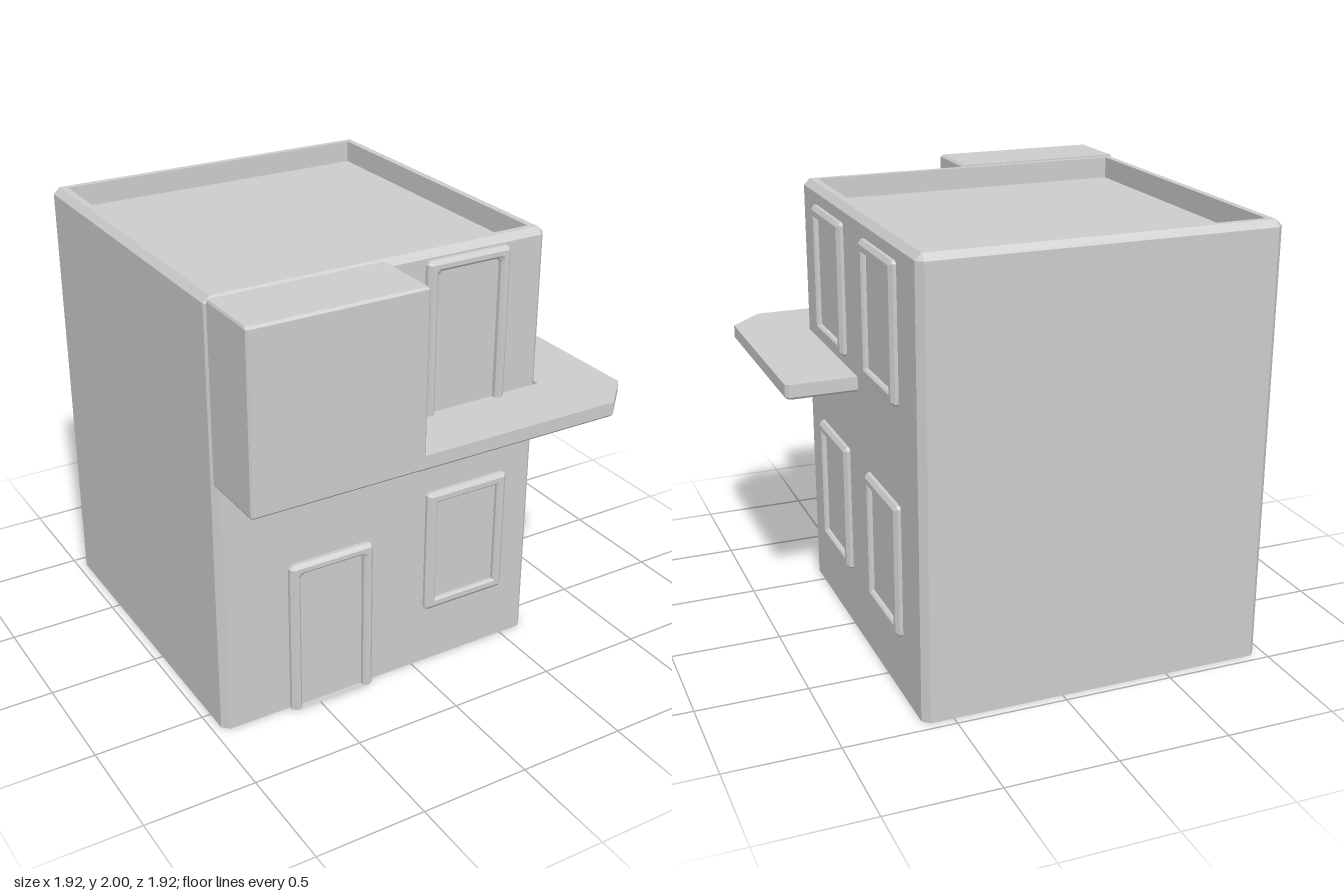
import * as THREE from 'three';

const material = new THREE.MeshStandardMaterial({ color: 0xcccccc, flatShading: true, side: THREE.DoubleSide });

// Rectangle with cut corners at height y; cuts are [front left, front right, back right, back left] in x-z
function ring(x0, x1, z0, z1, y, cuts) {
  const [a, b, c, d] = Array.isArray(cuts) ? cuts : [cuts, cuts, cuts, cuts];
  return [
    [x0, z1 - a], [x0 + a, z1], [x1 - b, z1], [x1, z1 - b],
    [x1, z0 + c], [x1 - c, z0], [x0 + d, z0], [x0, z0 + d],
  ].map(([x, z]) => [x, y, z]);
}

// Skin through a stack of matching rings, closed at either end if asked
function loft(rings, capEnd = true, capStart = false) {
  const p = [];
  for (let r = 0; r < rings.length - 1; r++) {
    const lo = rings[r], hi = rings[r + 1], n = lo.length;
    for (let i = 0; i < n; i++) {
      const j = (i + 1) % n;
      p.push(...lo[i], ...lo[j], ...hi[j], ...lo[i], ...hi[j], ...hi[i]);
    }
  }
  const cap = (pts, flip) => {
    const flat = pts.map(([x, , z]) => new THREE.Vector2(x, -z));
    for (const [a, b, c] of THREE.ShapeUtils.triangulateShape(flat, [])) {
      p.push(...pts[a], ...pts[flip ? c : b], ...pts[flip ? b : c]);
    }
  };
  if (capEnd) cap(rings[rings.length - 1], false);
  if (capStart) cap(rings[0], true);
  const g = new THREE.BufferGeometry();
  g.setAttribute('position', new THREE.Float32BufferAttribute(p, 3));
  g.computeVertexNormals();
  return g;
}

// Raised frame around a sunken panel, facing +z; a door keeps its foot level at y = 0
function framedPanel(w, h, isDoor) {
  const level = (inset, out, cut) => ring(
    -w / 2 + inset, w / 2 - inset, -(h - inset), isDoor ? 0 : -inset, out,
    isDoor ? [0.0005, 0.0005, cut, cut] : cut);
  const rings = isDoor
    ? [level(0, 0, 0.016), level(0, 0.018, 0.016), level(0.016, 0.034, 0.001),
      level(0.036, 0.034, 0.012), level(0.048, 0.022, 0.018), level(0.048, 0.004, 0.018)]
    : [level(0, 0, 0.012), level(0, 0.015, 0.012), level(0.018, 0.029, 0.001),
      level(0.042, 0.029, 0.001), level(0.05, 0.021, 0.001), level(0.05, 0.006, 0.001)];
  return loft(rings).rotateX(Math.PI / 2);
}

export function createModel() {
  const group = new THREE.Group();
  const add = (name, geometry, x = 0, y = 0, z = 0, turn = 0) => {
    const mesh = new THREE.Mesh(geometry, material);
    mesh.name = name;
    mesh.position.set(x, y, z);
    mesh.rotation.y = turn;
    group.add(mesh);
  };
  const L = -0.96, R = 0.635;

  // Hollow house body, open below, with parapet and sunken roof
  const body = (inset, y, cut) => ring(L + inset, R - inset, L + inset, R - inset, y, cut);
  add('houseBody', loft([
    body(0, 0, 0.03), body(0, 1.972, 0.03), body(0.029, 2, 0.0005),
    body(0.06, 2, 0.0005), body(0.06, 1.9, 0.0005),
  ]));

  // Upper room jutting out over the entrance
  const room = (inset, y) => ring(L + inset * 0.5, -0.165 - inset, R, 0.957 - inset, y,
    [0.008, 0.01, 0.0005, 0.0005]);
  add('overhangingRoom', loft([room(0.012, 1.205), room(0, 1.217), room(0, 1.99), room(0.01, 2)], true, true));

  // Balcony slab wrapping round the front corner
  const slab = (d, y) => [
    [-0.2, 0.957 - d], [0.8 - d * 0.4, 0.957 - d], [0.957 - d, 0.8 - d * 0.4],
    [0.957 - d, -0.145 + d], [0.942 - d, -0.16 + d], [R, -0.16 + d], [R, R], [-0.2, R],
  ].map(([x, z]) => [x, y, z]);
  add('balconySlab', loft([slab(0.01, 1.205), slab(0, 1.216), slab(0, 1.275)], true, true));

  // Doors
  add('frontDoor', framedPanel(0.41, 0.735, true), -0.43, 0, R);
  add('balconyDoor', framedPanel(0.41, 0.69, true), 0.228, 1.275, R);

  // Windows: one on the front, four on the side
  add('frontWindow', framedPanel(0.42, 0.6, false), 0.265, 0.285, R);
  for (const y of [0.285, 1.32]) {
    for (const z of [0.2, -0.505]) {
      add('sideWindow', framedPanel(0.42, 0.6, false), R, y, z, Math.PI / 2);
    }
  }
  return group;
}
